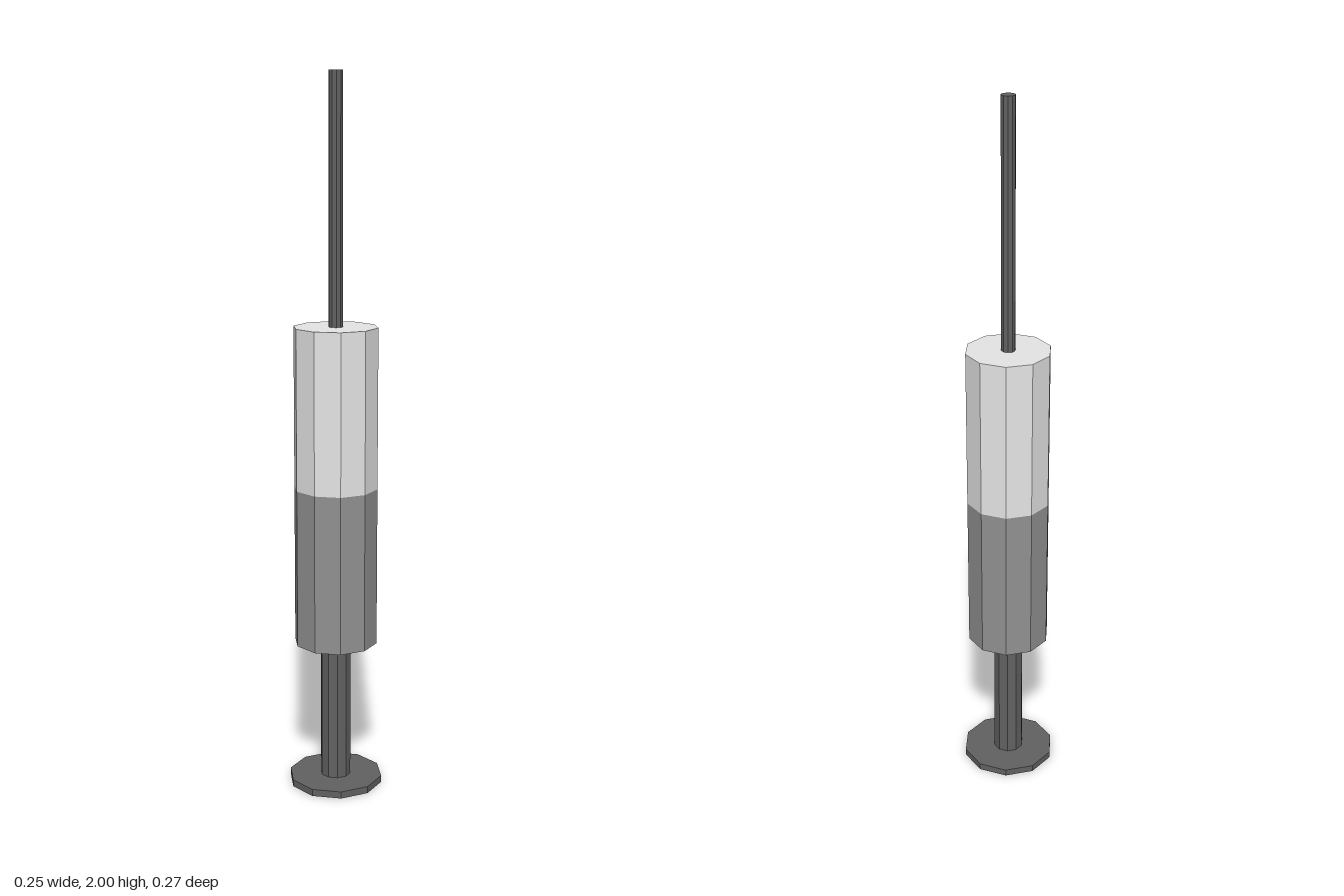
import * as THREE from 'three';

export function createModel() {
  const model = new THREE.Group();
  const mat = (name, color) => {
    const m = new THREE.MeshStandardMaterial({ color, flatShading: true });
    m.name = name;
    return m;
  };
  const dark = mat('dark grey', 0x626262);
  const mid = mat('mid grey', 0x929292);
  const light = mat('light grey', 0xe6e6e6);
  const shade = mat('near black', 0x383838);

  // Ten-sided upright cylinder between two heights; materials: side, top, underside
  const add = (name, radius, bottom, top, material, underside = material) => {
    const geometry = new THREE.CylinderGeometry(radius, radius, top - bottom, 10);
    geometry.translate(0, (bottom + top) / 2, 0);
    const mesh = new THREE.Mesh(geometry, [material, material, underside]);
    mesh.name = name;
    model.add(mesh);
  };

  // Foot disc and lower stem
  add('baseDisc', 0.134, 0, 0.02, dark, shade);
  add('lowerStem', 0.043, 0.02, 0.423, dark);
  // Two-tone barrel
  add('lowerBarrel', 0.118, 0.423, 0.873, mid, shade);
  add('upperBarrel', 0.118, 0.873, 1.323, light);
  // Thin rod on top
  add('upperRod', 0.0195, 1.323, 2, dark);

  return model;
}
